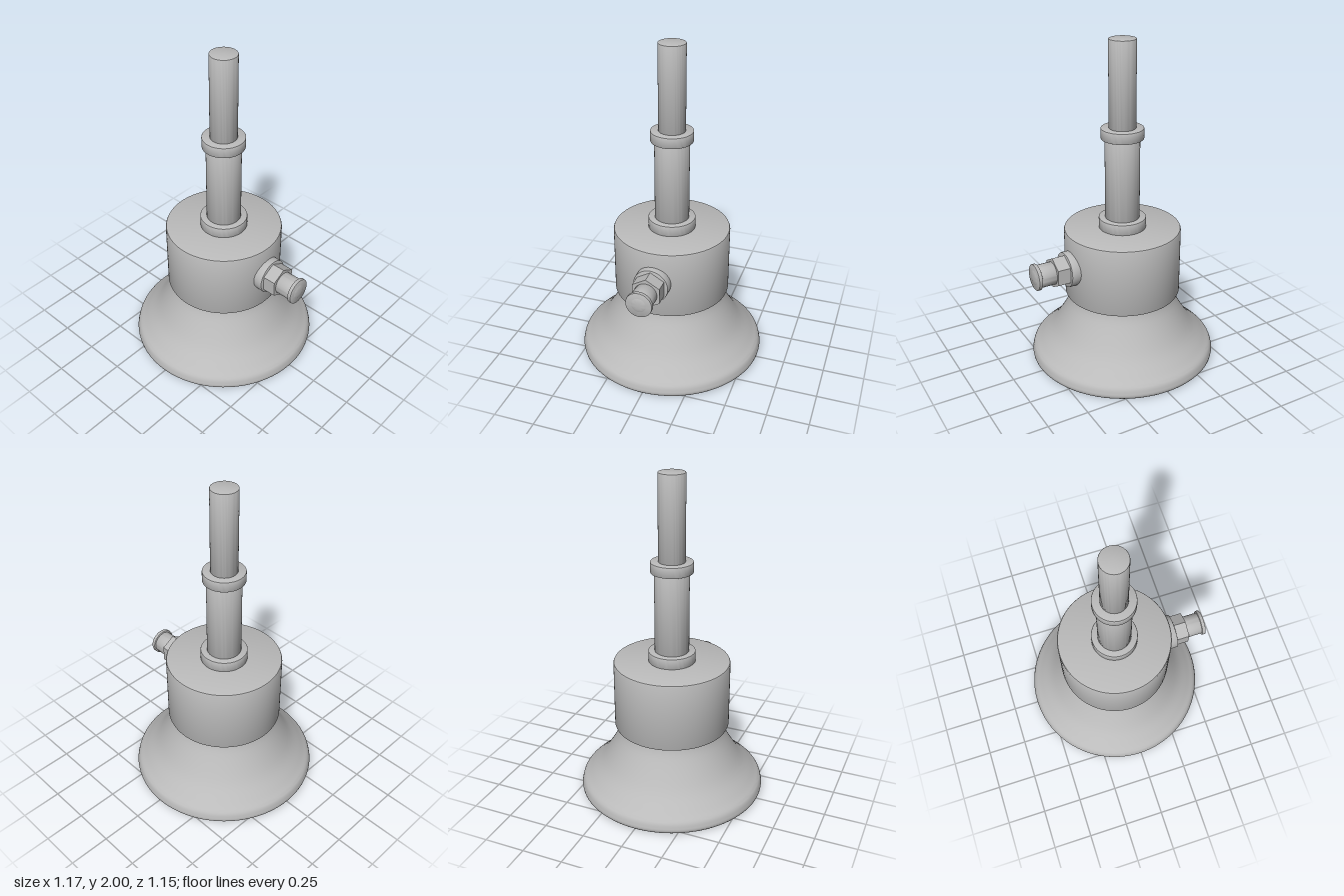
import * as THREE from 'three';
import { toCreasedNormals } from 'three/addons/utils/BufferGeometryUtils.js';

const AXIS_X = -0.01;

export function createModel() {
  const model = new THREE.Group();
  model.name = 'suctionCup';
  const grey = new THREE.MeshStandardMaterial({ color: 0xbababa });
  grey.name = 'grey';

  // Turned part from [radius, height] points, running upward on the outside
  function turned(name, points, parent, segments = 96) {
    const pts = points.map(([r, y]) => new THREE.Vector2(r, y));
    const geo = toCreasedNormals(new THREE.LatheGeometry(pts, segments), 0.6);
    const mesh = new THREE.Mesh(geo, grey);
    mesh.name = name;
    parent.add(mesh);
    return mesh;
  }

  // Solid disc or rod with a small bevel on both rims
  const rod = (r, y0, y1, b) => [
    [0, y0], [r - b, y0], [r - b * 0.3, y0 + b * 0.3], [r, y0 + b],
    [r, y1 - b], [r - b * 0.3, y1 - b * 0.3], [r - b, y1], [0, y1],
  ];

  const body = new THREE.Group();
  body.name = 'body';
  body.position.x = AXIS_X;
  model.add(body);

  // Hollow flared cup: inside wall down, rim, outside wall up
  const curve = (list) => new THREE.SplineCurve(list.map(([x, y]) => new THREE.Vector2(x, y)))
    .getPoints(24).map((p) => [p.x, p.y]);
  const inside = curve([[0.285, 0.42], [0.305, 0.35], [0.395, 0.19], [0.47, 0.09], [0.54, 0.03]]);
  const outside = curve([[0.573, 0.035], [0.56, 0.07], [0.515, 0.11], [0.43, 0.2], [0.335, 0.36], [0.31, 0.435]]);
  turned('cup', [[0, 0.42], ...inside, [0.545, 0.005], [0.55, 0], [0.565, 0.003],
    [0.573, 0.012], [0.575, 0.025], ...outside], body);

  // Housing, collars and stem
  turned('housing', rod(0.355, 0.43, 0.86, 0.012), body);
  turned('lowerCollar', rod(0.143, 0.855, 0.925, 0.004), body, 64);
  turned('sleeve', rod(0.104, 0.92, 1.425, 0.003), body, 64);
  turned('upperCollar', rod(0.127, 1.42, 1.485, 0.004), body, 64);
  turned('rod', rod(0.08, 1.48, 2, 0.004), body, 64);

  // Side hose fitting, built upright and turned to point along +x
  const fitting = new THREE.Group();
  fitting.name = 'hoseFitting';
  fitting.position.y = 0.66;
  fitting.rotation.z = -Math.PI / 2;
  model.add(fitting);

  turned('washer', rod(0.107, 0.28, 0.385, 0.003), fitting, 48);
  const nut = new THREE.Mesh(
    toCreasedNormals(new THREE.CylinderGeometry(0.096, 0.096, 0.085, 6), 0.6), grey);
  nut.name = 'hexNut';
  nut.position.y = 0.4225;
  nut.rotation.y = Math.PI / 6;
  fitting.add(nut);
  turned('neck', rod(0.069, 0.46, 0.565, 0.002), fitting, 48);
  turned('endFlange', rod(0.08, 0.56, 0.583, 0.004), fitting, 48);
  turned('endCap', [[0.044, 0.575], [0.044, 0.583], [0.036, 0.586], [0.02, 0.588], [0, 0.589]], fitting, 32);

  return model;
}
